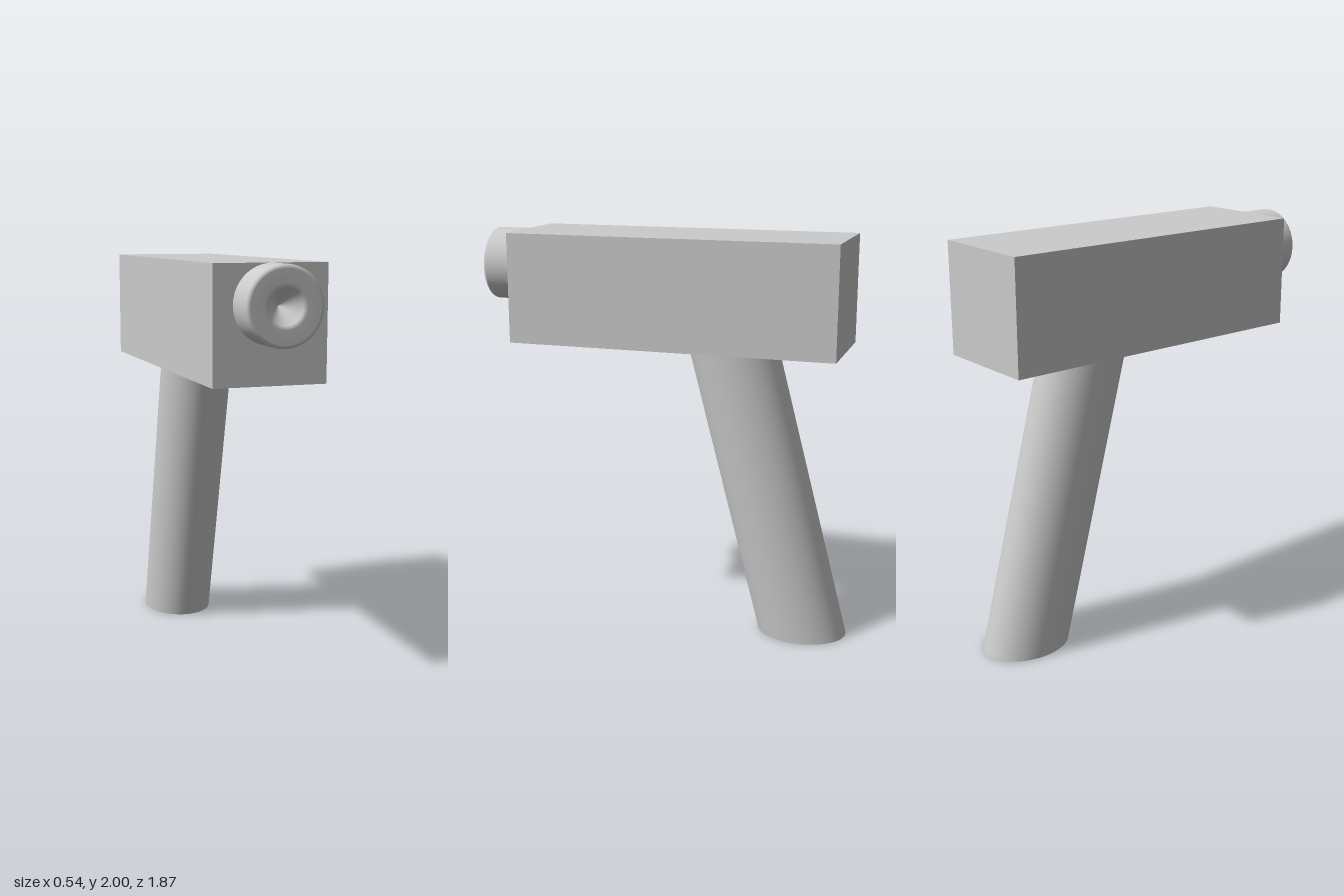
import * as THREE from 'three';

const material = new THREE.MeshStandardMaterial({ color: 0xcccccc });
const openMaterial = new THREE.MeshStandardMaterial({ color: 0xcccccc, side: THREE.DoubleSide });

function addMesh(group, name, geometry, mat = material) {
  const mesh = new THREE.Mesh(geometry, mat);
  mesh.name = name;
  group.add(mesh);
  return mesh;
}

// Open elliptical tube leaning back toward the bottom, cut level at both ends
function handleGeometry() {
  const height = 1.47, lean = 0.264;
  const geometry = new THREE.CylinderGeometry(1, 1, height, 64, 1, true);
  geometry.scale(0.18, 1, 0.225);
  geometry.translate(0, height / 2, 0);
  const shear = new THREE.Matrix4().set(
    1, 0, 0, 0,
    0, 1, 0, 0,
    0, lean, 1, -0.706,
    0, 0, 0, 1
  );
  return geometry.applyMatrix4(shear);
}

// Turned lens barrel: rounded rims and a funnel-shaped recess in the front
function lensGeometry() {
  const radius = 0.18, length = 0.18, round = 0.018;
  const points = [new THREE.Vector2(radius - 0.008, -0.01), new THREE.Vector2(radius, 0.01)];
  for (let i = 0; i <= 6; i++) {
    const a = (i / 6) * Math.PI / 2;
    points.push(new THREE.Vector2(
      radius - round + round * Math.cos(a),
      length - round + round * Math.sin(a)
    ));
  }
  points.push(
    new THREE.Vector2(0.1, length),
    new THREE.Vector2(0.088, length - 0.002),
    new THREE.Vector2(0.08, length - 0.01),
    new THREE.Vector2(0.072, length - 0.024),
    new THREE.Vector2(0, length - 0.1)
  );
  return new THREE.LatheGeometry(points, 64).rotateX(Math.PI / 2);
}

export function createModel() {
  const group = new THREE.Group();
  group.name = 'handheldCamera';

  // Rectangular body
  addMesh(group, 'body', new THREE.BoxGeometry(0.54, 0.54, 1.635)).position.set(0, 1.73, -0.06);

  // Slanted grip
  addMesh(group, 'handle', handleGeometry(), openMaterial);

  // Lens, flush with the top of the body
  addMesh(group, 'lens', lensGeometry(), openMaterial).position.set(0, 1.82, 0.757);

  return group;
}
